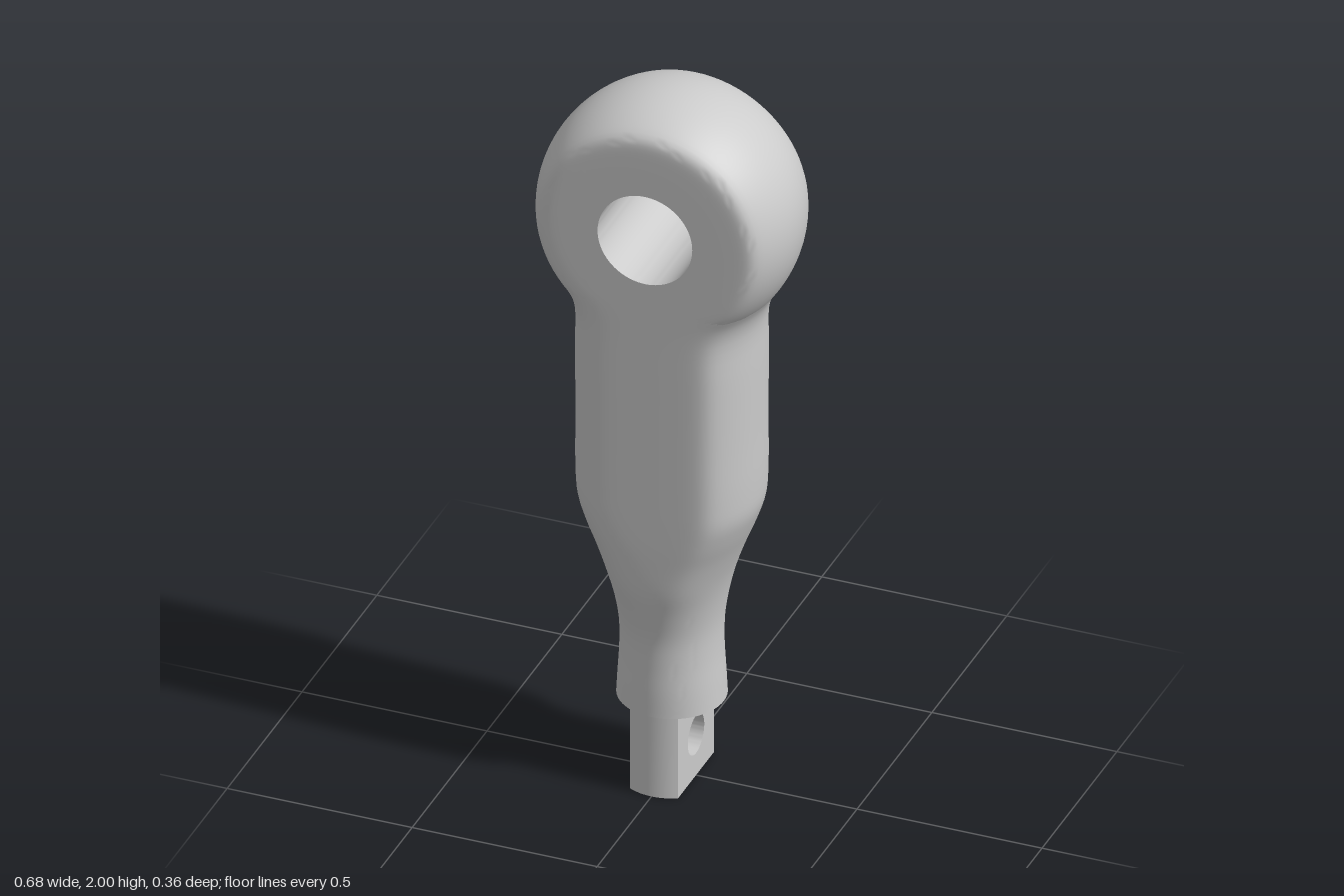
import * as THREE from 'three';
import { toCreasedNormals } from 'three/addons/utils/BufferGeometryUtils.js';

const FLAT = 0.181; // half thickness between the two milled faces
const HEAD_Y = 1.658, HEAD_R = 0.342, EYE_R = 0.128;

const material = new THREE.MeshStandardMaterial({ color: 0xcccccc, roughness: 0.7 });

// Limits a depth to the flat faces with a slightly softened edge
function softClip(z, limit = FLAT) {
  const a = Math.abs(z);
  if (a < 1e-6) return 0;
  return Math.sign(z) * a / Math.pow(1 + Math.pow(a / limit, 14), 1 / 14);
}

// Ball end: a sphere flattened front and back, pierced along z
function headGeometry() {
  const profile = [];
  const maxLat = Math.acos(EYE_R / HEAD_R);
  const n = 48;
  for (let i = 0; i <= n; i++) {
    const lat = -maxLat + (2 * maxLat * i) / n;
    profile.push(new THREE.Vector2(HEAD_R * Math.cos(lat), softClip(HEAD_R * Math.sin(lat))));
  }
  profile.push(profile[0].clone()); // wall of the eye
  const geo = new THREE.LatheGeometry(profile, 80);
  geo.rotateX(Math.PI / 2);
  return toCreasedNormals(geo, 0.7);
}

// Shank: round sections of changing width, clipped to the flat faces
function shankGeometry() {
  // half width, height, half depth before clipping
  const stations = [
    [0.14, 0.235, 0.14], [0.136, 0.3, 0.14], [0.131, 0.38, 0.139], [0.132, 0.46, 0.143],
    [0.143, 0.54, 0.162], [0.162, 0.62, 0.19], [0.19, 0.7, 0.21], [0.218, 0.77, 0.23],
    [0.237, 0.83, 0.24], [0.242, 0.9, 0.242], [0.242, 1.05, 0.242], [0.243, 1.25, 0.243],
    [0.244, 1.37, 0.244], [0.256, 1.42, 0.256], [0.28, 1.465, 0.28], [0.298, 1.503, 0.298],
    [0.302, 1.525, 0.302],
  ];
  const curve = new THREE.CatmullRomCurve3(stations.map((s) => new THREE.Vector3(...s)));
  const rows = 64, sides = 80;
  const pos = [], index = [];
  for (let j = 0; j <= rows; j++) {
    const s = curve.getPoint(j / rows);
    for (let i = 0; i < sides; i++) {
      const a = (i / sides) * Math.PI * 2;
      pos.push(s.x * Math.cos(a), s.y, softClip(s.z * Math.sin(a)));
    }
  }
  for (let j = 0; j < rows; j++) {
    for (let i = 0; i < sides; i++) {
      const k = (i + 1) % sides;
      const a = j * sides + i, b = j * sides + k;
      index.push(a, a + sides, b, b, a + sides, b + sides);
    }
  }
  // end caps
  const bottom = pos.length / 3, top = bottom + 1;
  pos.push(0, 0.222, 0, 0, 1.525, 0);
  for (let i = 0; i < sides; i++) {
    const k = (i + 1) % sides;
    index.push(bottom, i, k, top, rows * sides + k, rows * sides + i);
  }
  const geo = new THREE.BufferGeometry();
  geo.setAttribute('position', new THREE.Float32BufferAttribute(pos, 3));
  geo.setIndex(index);
  return toCreasedNormals(geo, 0.7);
}

// Tang: flat tongue with a cross hole and ends rounded to the neck
function tangGeometry() {
  const r = 0.137, half = 0.065, height = 0.245;
  const shape = new THREE.Shape();
  shape.moveTo(-r, 0).lineTo(r, 0).lineTo(r, height).lineTo(-r, height).closePath();
  const hole = new THREE.Path();
  hole.absarc(0, 0.12, 0.055, 0, Math.PI * 2, true);
  shape.holes.push(hole);
  const geo = new THREE.ExtrudeGeometry(shape, {
    depth: half * 2, steps: 12, bevelEnabled: false, curveSegments: 32,
  });
  geo.translate(0, 0, -half);
  geo.rotateY(Math.PI / 2);
  const p = geo.attributes.position;
  for (let i = 0; i < p.count; i++) {
    const z = p.getZ(i), x = p.getX(i);
    if (Math.abs(z) > 0.1) p.setZ(i, Math.sign(z) * Math.sqrt(r * r - x * x));
  }
  return toCreasedNormals(geo, 0.6);
}

export function createModel() {
  const group = new THREE.Group();
  group.name = 'eyeRod';
  const add = (name, geometry, y = 0) => {
    const mesh = new THREE.Mesh(geometry, material);
    mesh.name = name;
    mesh.position.y = y;
    group.add(mesh);
  };
  add('eyeHead', headGeometry(), HEAD_Y);
  add('shank', shankGeometry());
  add('tang', tangGeometry());
  return group;
}
